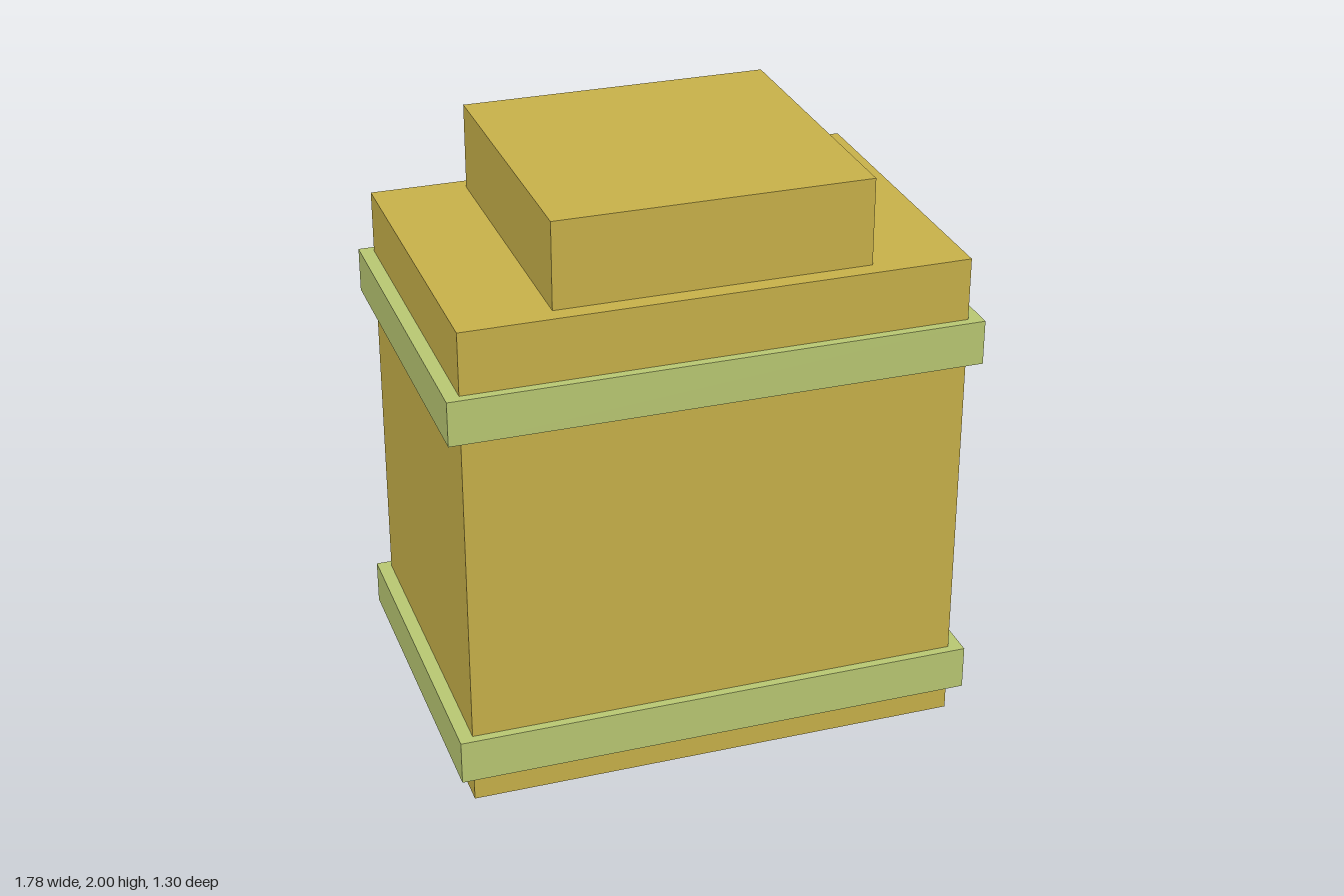
import * as THREE from 'three';

const gold = new THREE.MeshStandardMaterial({ name: 'gold', color: 0xc9b24a });
const green = new THREE.MeshStandardMaterial({ name: 'pale green', color: 0xbac973 });
const charcoal = new THREE.MeshStandardMaterial({ name: 'charcoal', color: 0x4b4a4f });

// Box given by its extents along each axis
function block(name, material, [x0, x1], [y0, y1], [z0, z1]) {
  const mesh = new THREE.Mesh(new THREE.BoxGeometry(x1 - x0, y1 - y0, z1 - z0), material);
  mesh.position.set((x0 + x1) / 2, (y0 + y1) / 2, (z0 + z1) / 2);
  mesh.name = name;
  return mesh;
}

export function createModel() {
  const model = new THREE.Group();
  model.name = 'container';
  const back = -0.515;

  // Main container and its raised lid
  model.add(block('body', gold, [-0.843, 0.843], [0, 1.705], [back, 0.618]));
  model.add(block('lid', gold, [-0.527, 0.527], [1.705, 2], [-0.46, 0.56]));

  // Bands wrapped around the body
  for (const [name, y] of [['lowerBand', 0.095], ['upperBand', 1.34]]) {
    model.add(block(name, green, [-0.89, 0.89], [y, y + 0.152], [-0.545, 0.648]));
  }

  // Vertical bar down the back
  model.add(block('backBar', charcoal, [-0.046, 0.046], [0.083, 1.63], [-0.617, back]));

  // Pair of blocks on the back
  for (const [name, x] of [['leftBackBlock', 0.465], ['rightBackBlock', -0.465]]) {
    model.add(block(name, gold, [x - 0.2, x + 0.2], [0.487, 0.853], [-0.648, back]));
  }
  return model;
}
